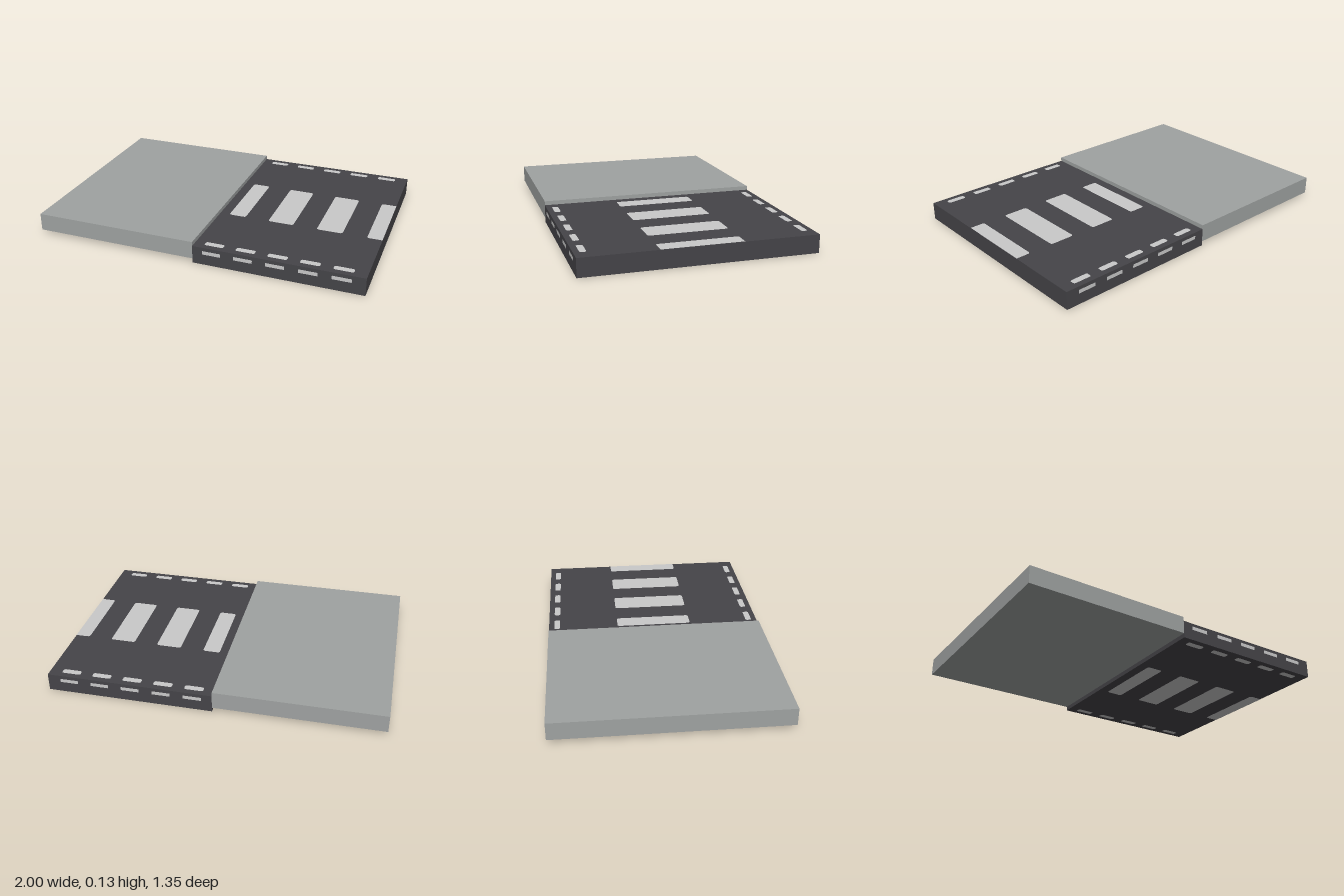
import * as THREE from 'three';

const DEPTH = 1.35, LIFT = 0.0015;
const BASE_Y = LIFT, TOP_Y = 0.109;

// Rounded rectangle centred on the origin; the right-hand corners may stay square
function roundedRect(w, h, r, squareRight = false) {
  const x = w / 2, y = h / 2, q = squareRight ? 0 : r;
  const s = new THREE.Shape();
  s.moveTo(-x + r, -y);
  s.lineTo(x - q, -y);
  if (q) s.quadraticCurveTo(x, -y, x, -y + q);
  s.lineTo(x, y - q);
  if (q) s.quadraticCurveTo(x, y, x - q, y);
  s.lineTo(-x + r, y);
  s.quadraticCurveTo(-x, y, -x, y - r);
  s.lineTo(-x, -y + r);
  s.quadraticCurveTo(-x, -y, -x + r, -y);
  return new THREE.ShapeGeometry(s, 4);
}

export function createModel() {
  const model = new THREE.Group();
  model.name = 'filmStripBlock';
  const grey = new THREE.MeshStandardMaterial({ name: 'plainGrey', color: 0x9fa2a1 });
  const dark = new THREE.MeshStandardMaterial({ name: 'filmDark', color: 0x454448 });
  const pale = new THREE.MeshStandardMaterial({ name: 'windowPale', color: 0xc9c9c9 });

  function add(name, geometry, material, x, y, z, rx = 0, ry = 0) {
    const mesh = new THREE.Mesh(geometry, material);
    mesh.name = name;
    mesh.position.set(x, y, z);
    mesh.rotation.set(rx, ry, 0);
    model.add(mesh);
  }

  // Two slabs side by side, the plain one slightly raised
  add('plainSlab', new THREE.BoxGeometry(1, 0.106, DEPTH), grey, -0.5, 0.081, 0);
  add('filmSlab', new THREE.BoxGeometry(1, TOP_Y - BASE_Y, DEPTH), dark, 0.5, (TOP_Y + BASE_Y) / 2, 0);

  // Picture windows on the top and underside: [start x, end x]
  const windows = [[0.06, 0.165], [0.31, 0.465], [0.61, 0.765], [0.91, 1]];
  const faces = [['top', TOP_Y + LIFT, -Math.PI / 2], ['bottom', BASE_Y - LIFT, Math.PI / 2]];
  for (const [side, y, rx] of faces) {
    for (const [a, b] of windows) {
      add(side + 'Window', roundedRect(b - a, 0.47, 0.016, b === 1), pale, (a + b) / 2, y, 0, rx);
    }
  }

  // Sprocket holes along both edges, on the top, underside, front and back
  const flatHole = roundedRect(0.114, 0.037, 0.013);
  const edgeHole = roundedRect(0.11, 0.022, 0.003);
  for (let i = 0; i < 5; i++) {
    const x = 0.117 + i * 0.1875;
    for (const s of [1, -1]) {
      for (const [side, y, rx] of faces) add(side + 'Sprocket', flatHole, pale, x, y, s * 0.623, rx);
      add(s > 0 ? 'frontSprocket' : 'backSprocket', edgeHole, pale,
        x, 0.078, s * (DEPTH / 2 + LIFT), 0, s > 0 ? 0 : Math.PI);
    }
  }
  return model;
}
